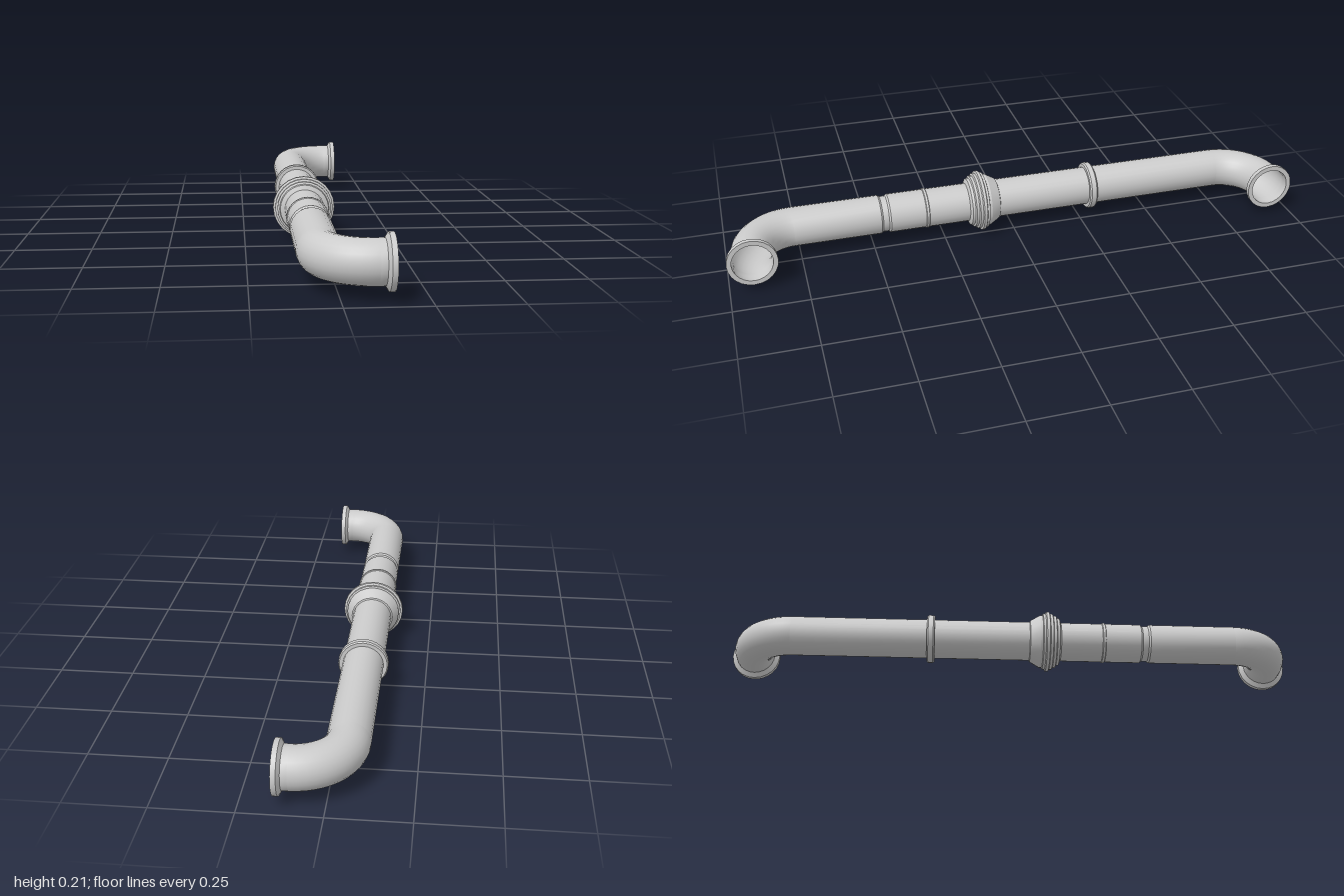
import * as THREE from 'three';
import { toCreasedNormals } from 'three/addons/utils/BufferGeometryUtils.js';

const SIDES = 24;
const R = 0.067;            // pipe radius
const AXIS_X = -0.047;      // main run position
const AXIS_Y = 0.105;
const BEND = 0.15;          // elbow centreline radius
const RUN = 0.767;          // half length of the straight run

const material = new THREE.MeshStandardMaterial({ color: 0xcccccc, side: THREE.DoubleSide });

// Revolved part from [radius, position along axis] pairs
function turned(name, profile) {
  const points = profile.map(([r, h]) => new THREE.Vector2(r, h));
  const geometry = toCreasedNormals(new THREE.LatheGeometry(points, SIDES), 0.45);
  const mesh = new THREE.Mesh(geometry, material);
  mesh.name = name;
  return mesh;
}

export function createModel() {
  const model = new THREE.Group();
  model.name = 'pipe';

  // Parts turned around the main run, which lies along z
  const run = new THREE.Group();
  run.name = 'mainRun';
  run.position.set(AXIS_X, AXIS_Y, 0);
  run.rotation.x = Math.PI / 2;
  model.add(run);

  // Straight pipe with a shallow groove near the front
  run.add(turned('straightPipe', [
    [R, -RUN], [R, 0.439], [0.062, 0.445], [0.062, 0.465], [R, 0.471], [R, RUN],
  ]));

  // Stepped coupling: flared behind, ridged in front
  run.add(turned('coupling', [
    [R, 0.052], [0.072, 0.054], [0.092, 0.088], [0.092, 0.096], [0.098, 0.098],
    [0.098, 0.106], [0.105, 0.109], [0.105, 0.119], [0.098, 0.122], [0.098, 0.131],
    [0.091, 0.134], [0.091, 0.143], [0.084, 0.146], [0.082, 0.155], [R, 0.161],
  ]));

  // Raised band behind the coupling
  run.add(turned('weldBand', [
    [R, -0.303], [0.079, -0.303], [0.083, -0.298], [0.083, -0.281], [0.079, -0.276], [R, -0.276],
  ]));

  // Thin seam ring in front of the coupling
  run.add(turned('seamRing', [
    [R, 0.304], [0.07, 0.306], [0.07, 0.314], [R, 0.316],
  ]));

  // Elbow and flanged mouth at each end, opening toward +x
  for (const side of [1, -1]) {
    const label = side > 0 ? 'front' : 'back';

    const bend = new THREE.TorusGeometry(BEND, R, SIDES, 12, Math.PI / 2);
    bend.rotateX(Math.PI / 2);
    bend.rotateY(side > 0 ? -Math.PI / 2 : -Math.PI);
    const elbow = new THREE.Mesh(bend, material);
    elbow.name = label + 'Elbow';
    elbow.position.set(AXIS_X + BEND, AXIS_Y, side * RUN);
    model.add(elbow);

    const flange = turned(label + 'Flange', [
      [R, AXIS_X + BEND], [R, 0.123], [0.083, 0.132], [0.083, 0.148], [R, 0.148], [R, 0.123],
    ]);
    flange.rotation.z = -Math.PI / 2;
    flange.position.set(0, AXIS_Y, side * (RUN + BEND));
    model.add(flange);
  }

  return model;
}
